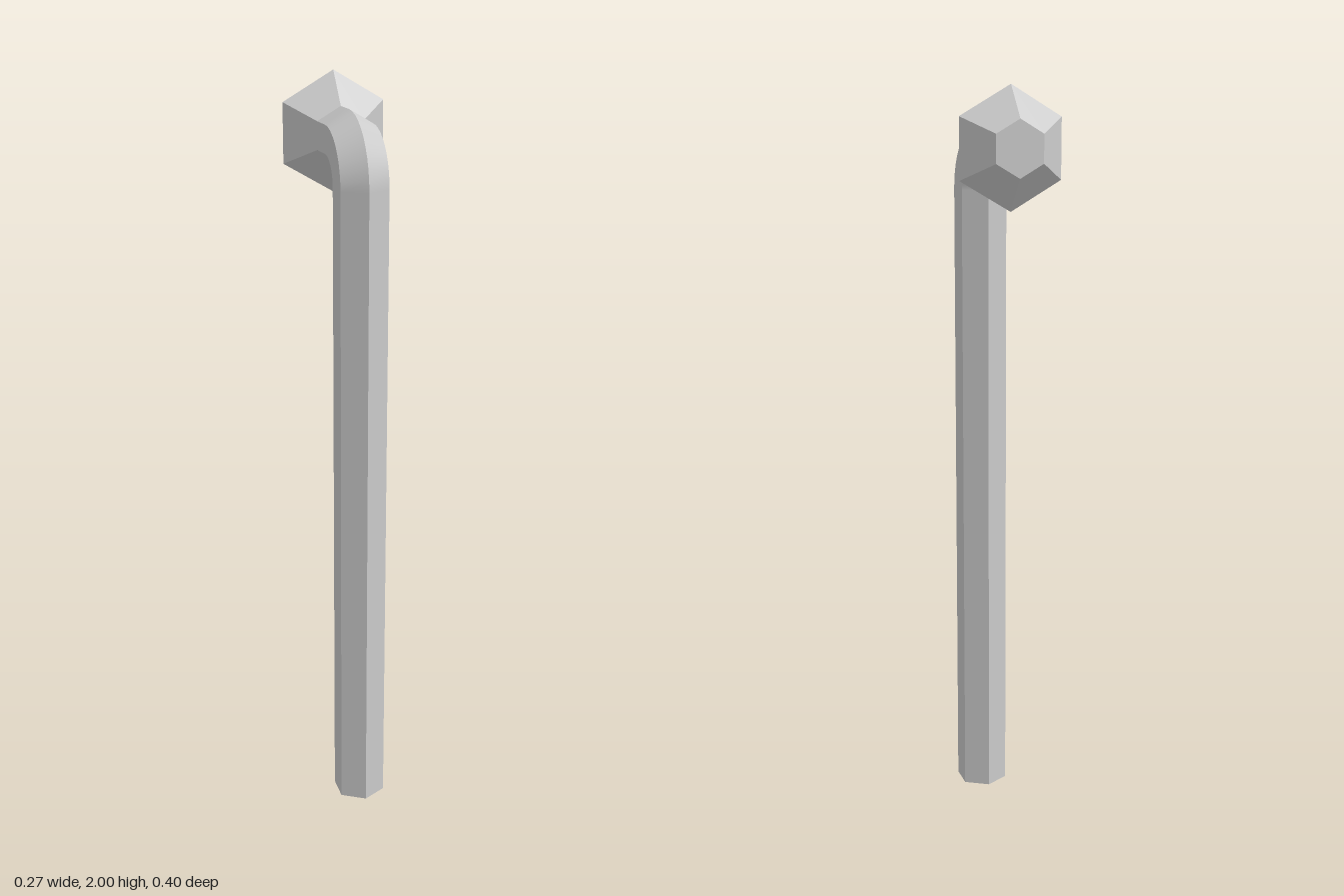
import * as THREE from 'three';

const SIDES = 6;
const ROD = 0.0725;      // corner radius of the hexagonal rod
const BEND = 0.11;       // bend radius along the rod's centre line
const ROD_Z = 0.129;     // centre of the upright shaft
const ARM_Y = 1.843;     // centre height of the arm and knob
const KNOB_Z = -0.13;
const KNOB = 0.157;      // corner radius of the knob at its widest

const material = new THREE.MeshStandardMaterial({ color: 0xcccccc });
const faceted = new THREE.MeshStandardMaterial({ color: 0xcccccc, flatShading: true });

// Cross-section stations along the rod: centre and turn angle
function rodStations() {
  const stations = [{ y: 0, z: ROD_Z, t: 0 }];
  const steps = 10;
  for (let i = 0; i <= steps; i++) {
    const t = (i / steps) * Math.PI / 2;
    stations.push({
      y: ARM_Y - BEND + BEND * Math.sin(t),
      z: ROD_Z - BEND + BEND * Math.cos(t),
      t,
    });
  }
  stations.push({ y: ARM_Y, z: KNOB_Z + ROD, t: Math.PI / 2 });
  return stations;
}

// One strip per side: smooth along the bend, sharp between the sides
function rodGeometry() {
  const stations = rodStations();
  const positions = [];
  const indices = [];
  for (let k = 0; k < SIDES; k++) {
    const base = positions.length / 3;
    stations.forEach(({ y, z, t }, i) => {
      for (const corner of [k, k + 1]) {
        const a = (corner / SIDES) * Math.PI * 2;
        const d = ROD * Math.cos(a);
        positions.push(ROD * Math.sin(a), y + d * Math.sin(t), z + d * Math.cos(t));
      }
      if (i === 0) return;
      const p = base + (i - 1) * 2;
      indices.push(p, p + 1, p + 3, p, p + 3, p + 2);
    });
  }
  const geometry = new THREE.BufferGeometry();
  geometry.setAttribute('position', new THREE.Float32BufferAttribute(positions, 3));
  geometry.setIndex(indices);
  geometry.computeVertexNormals();
  return geometry;
}

export function createModel() {
  const model = new THREE.Group();
  model.name = 'bentHexRod';

  const add = (name, geometry, mat) => {
    const mesh = new THREE.Mesh(geometry, mat);
    mesh.name = name;
    model.add(mesh);
    return mesh;
  };

  // Upright shaft, bend and short arm
  add('rod', rodGeometry(), material);

  // Flat foot of the shaft, facing down
  const foot = new THREE.CircleGeometry(ROD, SIDES, Math.PI / 2).rotateX(Math.PI / 2);
  add('rodFoot', foot, material).position.z = ROD_Z;

  // Double-bevelled hexagonal knob, flat at the back
  const profile = [[ROD, -0.073], [KNOB, 0], [ROD, 0.073], [0, 0.073]]
    .map(([r, h]) => new THREE.Vector2(r, h));
  const knob = new THREE.LatheGeometry(profile, SIDES).rotateX(-Math.PI / 2);
  add('knob', knob, faceted).position.set(0, ARM_Y, KNOB_Z);

  return model;
}
